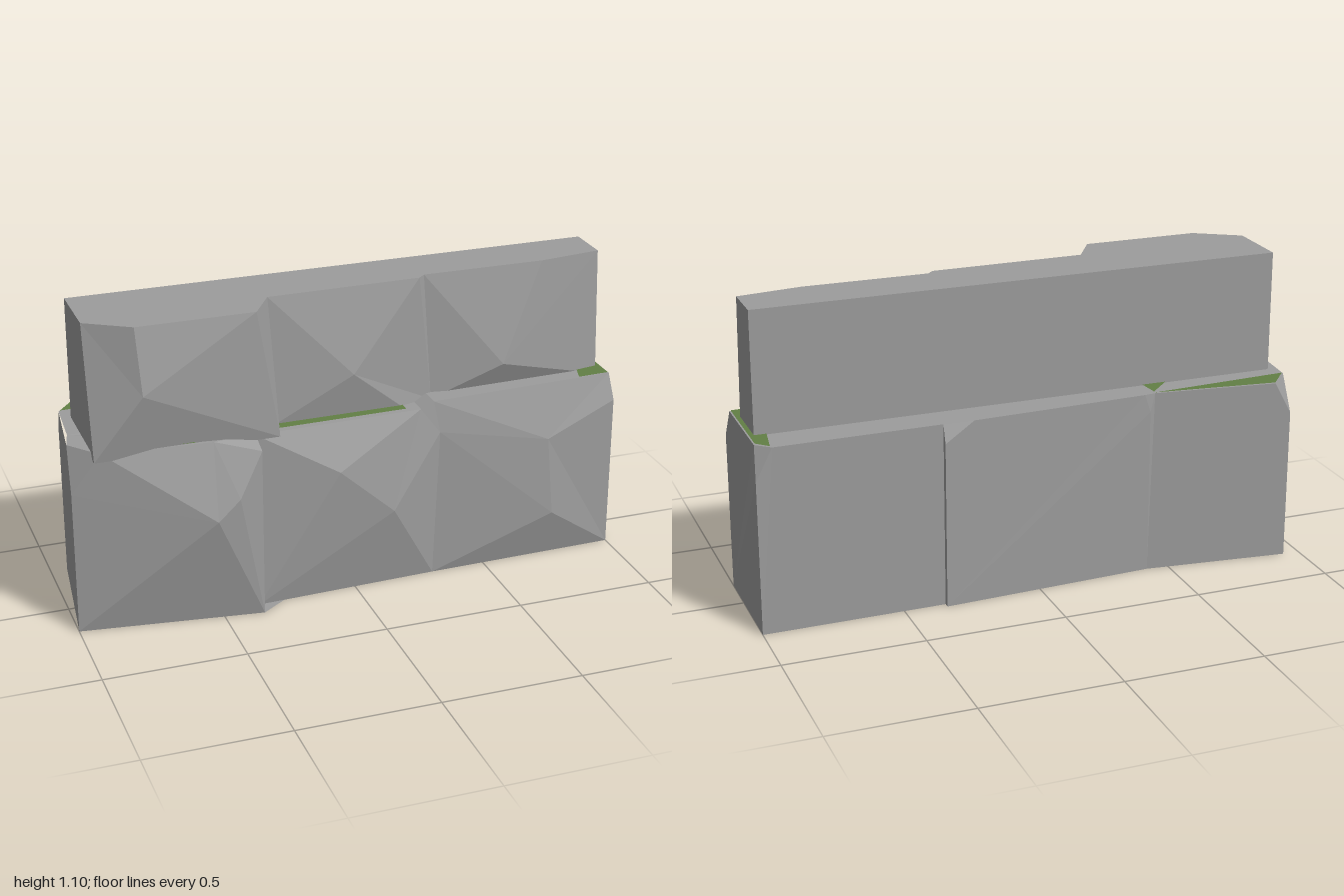
import * as THREE from 'three';

// Faceted mesh from polygons; each polygon is fanned out from its first corner.
function faceted(name, material, polygons) {
  const pos = [];
  for (const p of polygons)
    for (let i = 1; i < p.length - 1; i++) pos.push(...p[0], ...p[i], ...p[i + 1]);
  const geo = new THREE.BufferGeometry();
  geo.setAttribute('position', new THREE.Float32BufferAttribute(pos, 3));
  geo.computeVertexNormals();
  const mesh = new THREE.Mesh(geo, material);
  mesh.name = name;
  return mesh;
}

// Flat polygon at height y from [x, z] pairs
const flat = (y, ...xz) => xz.map(([x, z]) => [x, y, z]);

function lowerTier(rock) {
  const T = 0.665, S = 0.645; // main top and sunken middle ledge
  // left bulge
  const a0 = [-1, 0, 0.165], a1 = [-0.36, 0, 0.25], a2 = [-0.36, 0.62, 0.25];
  const a3 = [-0.52, T, 0.22], a4 = [-0.9, T, 0.19], a5 = [-1, 0.52, 0.165];
  const a6 = [-0.99, T, 0.08], a7 = [-0.36, 0.65, 0.17];
  const k1 = [-0.53, 0.4, 0.295], k2 = [-0.45, 0.47, 0.288];
  // middle bulge
  const b0 = [-0.36, 0, 0.19], b1 = [0.3, 0, 0.165], b3 = [0.32, 0.55, 0.165];
  const b4 = [0.25, S, 0.155], b5 = [-0.36, S, 0.17];
  const m1 = [-0.07, 0.48, 0.222], m2 = [0.13, 0.3, 0.222];
  // right bulge
  const c1 = [1, 0, 0.15], c2 = [1, 0.57, 0.15], c3 = [0.99, T, 0.12], c4 = [0.3, T, 0.15];
  const n1 = [0.75, 0.18, 0.2], n2 = [0.73, 0.47, 0.185];
  // back corners, right to left
  const e1 = [1, 0, -0.265], e2 = [1, 0.55, -0.265], e3 = [0.99, T, -0.22], e4 = [0.94, T, -0.262];
  const f1 = [0.35, 0, -0.258], f2 = [0.35, T, -0.258];
  const g0 = [0.35, 0, -0.278], g1 = [-0.42, 0, -0.238], g2 = [-0.42, 0.6, -0.238];
  const g3 = [-0.4, T, -0.235], g4 = [0.24, T, -0.26], g5 = [0.35, 0.6, -0.278];
  const h1 = [-0.94, 0, -0.295], h2 = [-0.94, 0.55, -0.295], h3 = [-0.88, T, -0.288];
  const h4 = [-0.44, T, -0.23], l = [-0.955, T, -0.2];
  const rightMid = [0.99, T, 0], leftMid = [-0.97, T, 0];

  return faceted('lowerRockTier', rock, [
    // left front
    [a0, a1, k1], [a1, k2, k1], [a1, a2, k2], [a2, a3, k2], [a3, k1, k2],
    [a3, a4, k1], [a4, a5, k1], [a5, a0, k1], [a5, a4, a6], [a2, a7, a3],
    [a1, [-0.36, 0, 0.15], [-0.36, S, 0.15], a7, a2],
    // middle front
    [b0, b1, m2], [b1, b3, m2], [b3, b4, m2], [b4, m1, m2], [b4, b5, m1], [b5, b0, m1], [b0, m2, m1],
    // right front
    [b1, c1, n1], [c1, n2, n1], [c1, c2, n2], [c2, c3, n2], [c3, c4, n2],
    [c4, b3, n2], [b3, n1, n2], [b3, b1, n1], [b3, c4, b4],
    // ends with corner chamfers
    [c1, e1, e2, e3, c3, c2], [e2, e4, e3],
    [h1, a0, a5, a6, l, h2], [h2, l, h3],
    // back slabs and step
    [e1, f1, f2, e4, e2], [f1, g0, g5, f2], [g5, g4, f2],
    [g0, g1, g2, g3, g4, g5], [g2, h4, g3], [g1, h1, h2, h3, h4, g2],
    // top
    [[0, T, 0], rightMid, e3, e4, f2, g4, g3, h4, h3, l, leftMid],
    [leftMid, a6, a4, a3, a7, [-0.36, T, 0]],
    [b5, b4, [0.25, S, 0], [-0.36, S, 0]],
    [b4, c4, [0.3, T, 0], [0.25, S, 0]],
    [c4, c3, rightMid, [0.3, T, 0]],
    // underside
    [[0, 0, 0], a0, h1, g1, g0, f1, e1, c1, b1, b0, a1, a0],
  ]);
}

function upperTier(rock) {
  const H = 1.1, B = 0.64, Z = -0.14;
  const p0 = [-0.925, H, 0.1], p1 = [-0.77, H, 0.195], p2 = [-0.355, H, 0.195];
  const p3 = [-0.28, H, 0.075], p4 = [0.27, H, 0.07], p5 = [0.295, H, 0.047];
  const p6 = [0.74, H, 0.05], p7 = [0.97, H, 0.02];
  const q0 = [-0.925, B, 0.2], q2 = [-0.28, B, 0.2], q3 = [-0.28, B, 0.11];
  const q4 = [0.2, B, 0.105], q5 = [0.32, B, 0.07], q7 = [0.97, B, 0.05];
  const bl = [-0.925, B, Z], br = [0.97, B, Z], tl = [-0.925, H, Z], tr = [0.97, H, Z];
  const left = [-0.76, 0.87, 0.24], mid = [0.01, 0.8, 0.132], right = [0.58, 0.75, 0.105];
  return faceted('upperRockTier', rock, [
    // three bulging front panels and the cleft between them
    [left, q0, q2, p2, p1, p0, q0],
    [q2, q3, p3, p2],
    [mid, q3, q4, q5, p4, p3, q3],
    [q5, p5, p4],
    [right, q5, q7, p7, p6, p5, q5],
    // ends, back and top
    [bl, q0, p0, tl], [q7, br, tr, p7], [br, bl, tl, tr],
    [[-0.3, H, Z], tl, p0, p1, p2, p3, p4, p5, p6, p7, tr],
  ]);
}

export function createModel() {
  const rock = new THREE.MeshStandardMaterial({ color: 0x9c9c9c });
  rock.name = 'rockGrey';
  const grass = new THREE.MeshStandardMaterial({ color: 0x627f45 });
  grass.name = 'grassGreen';

  const group = new THREE.Group();
  group.name = 'rockCliff';
  group.add(lowerTier(rock), upperTier(rock));

  // grass patches lying on the ledge
  const y = 0.668;
  group.add(faceted('ledgeGrass', grass, [
    flat(y, [-0.95, -0.2], [-0.44, -0.23], [-0.88, -0.286]),
    flat(y, [-0.53, -0.13], [-0.43, -0.13], [-0.44, -0.22]),
    flat(y, [0.986, 0], [0.986, -0.215], [0.945, -0.255], [0.9, 0.03], [0.87, 0.124], [0.986, 0.119]),
    flat(y, [-0.8, 0.19], [-0.58, 0.21], [-0.58, 0.15]),
    flat(0.648, [-0.28, 0.148], [0.2, 0.14], [0.2, 0.05], [-0.28, 0.05]),
  ]));
  return group;
}
